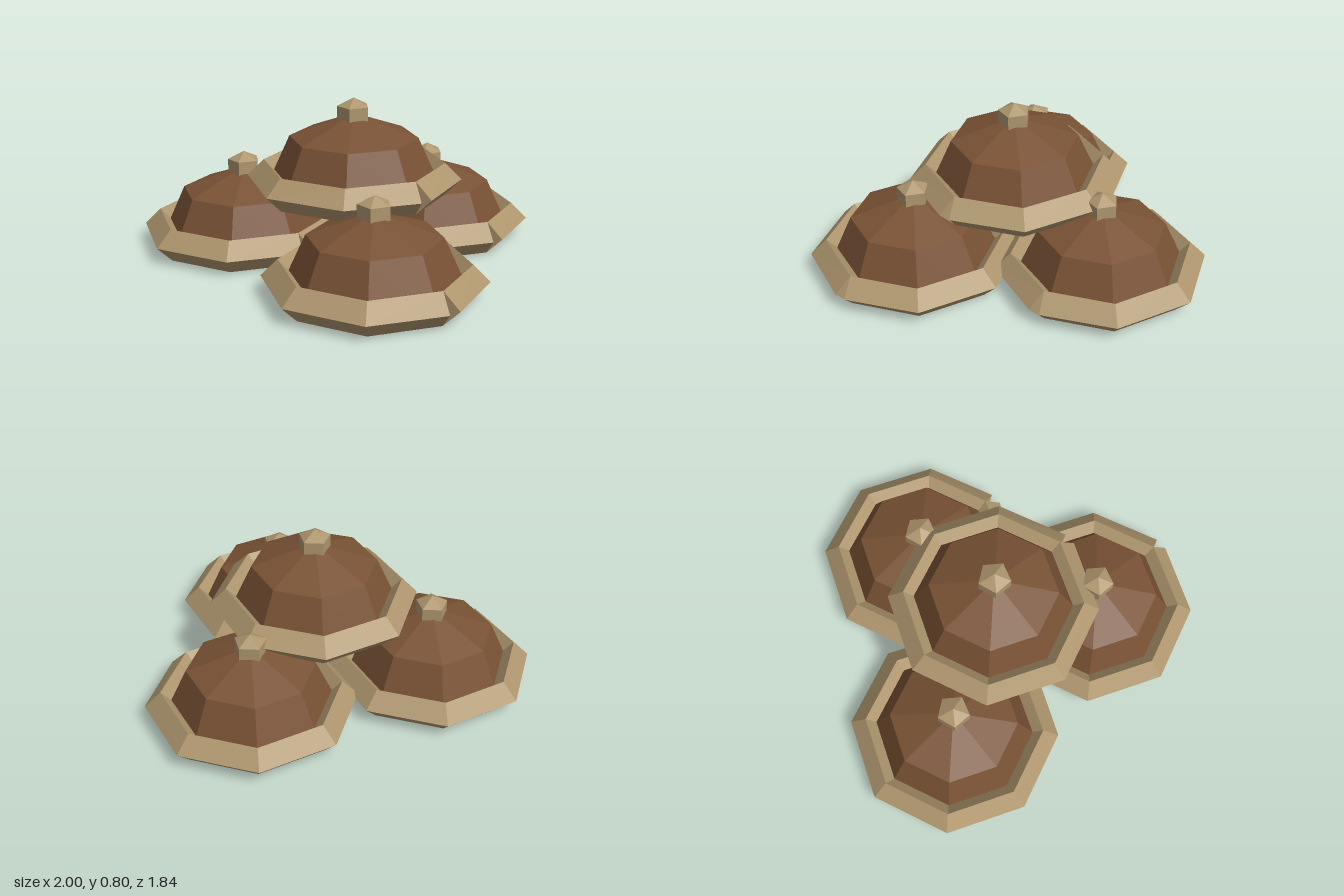
import * as THREE from 'three';

const RIM_RADIUS = 0.44;  // centre line of the rim
const RIM_HALF = 0.08;    // half width of its diamond section
const SIDES = 8;

// Diamond section swept round an octagon; its square-cut ends leave a notch at +x
function rimGeometry() {
  const profile = [[1, 0], [0, 1], [-1, 0], [0, -1]];
  const pos = [], index = [];
  for (let i = 0; i <= SIDES; i++) {
    const a = (i / SIDES) * Math.PI * 2;
    const turn = i === 0 ? Math.PI / SIDES : i === SIDES ? -Math.PI / SIDES : 0;
    for (const [u, v] of profile) {
      pos.push(
        RIM_RADIUS * Math.cos(a) + u * RIM_HALF * Math.cos(a + turn),
        RIM_HALF + v * RIM_HALF,
        RIM_RADIUS * Math.sin(a) + u * RIM_HALF * Math.sin(a + turn)
      );
    }
  }
  for (let i = 0; i < SIDES; i++) {
    for (let j = 0; j < 4; j++) {
      const a = i * 4 + j, b = i * 4 + (j + 1) % 4;
      index.push(a, b, a + 4, b, b + 4, a + 4);
    }
  }
  // end caps
  const e = SIDES * 4;
  index.push(0, 3, 2, 0, 2, 1, e, e + 1, e + 2, e, e + 2, e + 3);
  const geo = new THREE.BufferGeometry();
  geo.setAttribute('position', new THREE.Float32BufferAttribute(pos, 3));
  geo.setIndex(index);
  const flat = geo.toNonIndexed();
  flat.computeVertexNormals();
  return flat;
}

export function createModel() {
  const khaki = new THREE.MeshStandardMaterial({ name: 'khaki', color: 0xae966e, flatShading: true });
  const brown = new THREE.MeshStandardMaterial({ name: 'brown', color: 0x795235, flatShading: true, side: THREE.DoubleSide });

  const rimGeo = rimGeometry();
  // open, slightly flattened half sphere
  const domeGeo = new THREE.SphereGeometry(0.44, SIDES, 2, 0, Math.PI * 2, 0, Math.PI / 2);
  domeGeo.scale(1, 0.4 / 0.44, 1);
  // five-sided knob with a pointed cap
  const knobGeo = new THREE.CylinderGeometry(0.08, 0.08, 0.105, 5, 1, true).rotateY(Math.PI).translate(0, 0.3825, 0);
  const capGeo = new THREE.ConeGeometry(0.08, 0.04, 5, 1, true).rotateY(Math.PI).translate(0, 0.455, 0);

  const model = new THREE.Group();
  model.name = 'domeStack';
  const add = (parent, name, geo, mat) => {
    const mesh = new THREE.Mesh(geo, mat);
    mesh.name = name;
    parent.add(mesh);
  };

  // three domes on the ground, one resting on top
  const places = [
    ['leftDome', 0.485, 0, 0.37],
    ['rightDome', -0.48, 0, 0.4],
    ['backDome', 0, 0, -0.405],
    ['topDome', 0.03, 0.32, 0.11],
  ];
  for (const [name, x, y, z] of places) {
    const unit = new THREE.Group();
    unit.name = name;
    unit.position.set(x, y, z);
    add(unit, 'shell', domeGeo, brown);
    add(unit, 'rim', rimGeo, khaki);
    add(unit, 'knob', knobGeo, khaki);
    add(unit, 'knobCap', capGeo, khaki);
    model.add(unit);
  }
  return model;
}
